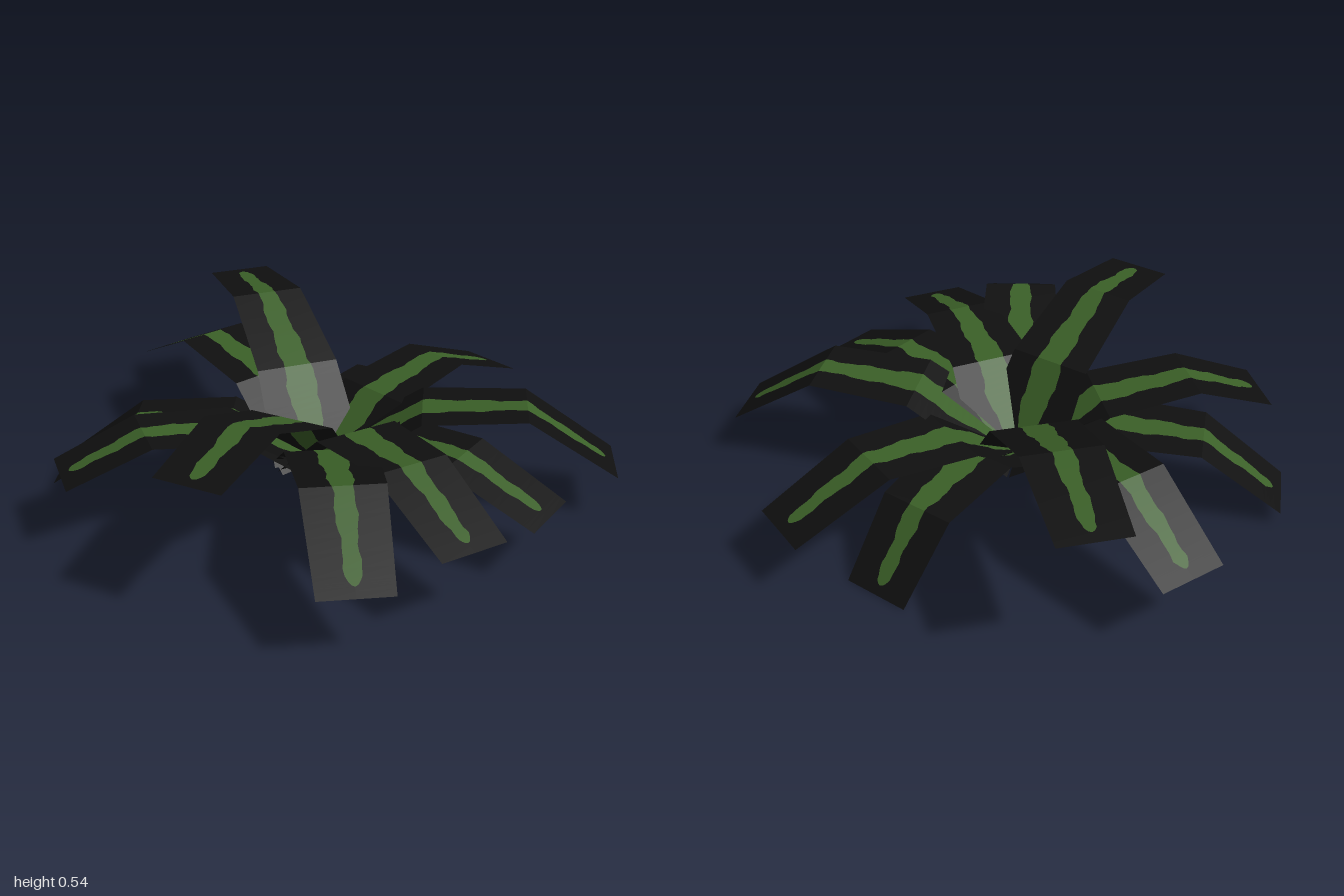
import * as THREE from 'three';

// Root point shared by every leaf, and leaf widths at root and tip
const ROOT = { x: -0.035, y: 0.1, z: 0.015 };
const ROOT_WIDTH = 0.345, TIP_WIDTH = 0.24;

// Each leaf: tip x, tip z, tip y, then radius and height of the bend and of the middle fold
const LEAVES = [
  [0.002, 0.905, 0.46, 0.555, 0.507, 0.215, 0.37],
  [0.55, 0.865, 0.215, 0.70, 0.40, 0.34, 0.33],
  [0.78, 0.53, 0.25, 0.60, 0.375, 0.26, 0.34],
  [0.882, 0.12, 0.18, 0.59, 0.31, 0.27, 0.29],
  [0.947, -0.395, 0.15, 0.74, 0.36, 0.37, 0.34],
  [0.27, -0.907, 0.20, 0.62, 0.335, 0.28, 0.29],
  [-0.04, -0.8, 0.0, 0.585, 0.22, 0.26, 0.25],
  [-0.775, -0.64, 0.5, 0.60, 0.54, 0.24, 0.38],
  [-0.957, -0.345, 0.23, 0.65, 0.40, 0.29, 0.355],
  [-0.91, 0.425, 0.04, 0.67, 0.26, 0.32, 0.275],
  [-0.65, 0.725, 0.23, 0.645, 0.34, 0.30, 0.30],
];

// Half width of the stripe as a fraction of the leaf's half width, t = 0 root to 1 tip
function stripeFraction(t) {
  if (t > 0.965) return 0;
  const body = 0.35 - 0.17 * Math.max(0, (t - 0.3) / 0.7);
  const taper = Math.min(1, 0.25 + t / 0.25);
  const roundEnd = Math.sqrt(Math.min(1, (0.965 - t) / 0.025));
  return body * taper * roundEnd;
}

// Small ragged variation along the stripe
const wobble = (t, phase) => 0.03 * Math.sin(t * 41 + phase) + 0.018 * Math.sin(t * 97 + phase * 2);

// Flat-faced strip from rows of [left, right] points
function strip(rows) {
  const pos = [];
  for (let i = 0; i < rows.length - 1; i++) {
    const [a, b] = rows[i], [c, d] = rows[i + 1];
    for (const p of [a, c, b, b, c, d]) pos.push(p.x, p.y, p.z);
  }
  const g = new THREE.BufferGeometry();
  g.setAttribute('position', new THREE.Float32BufferAttribute(pos, 3));
  g.computeVertexNormals();
  return g;
}

function makeLeaf([tx, tz, tipY, bendR, bendY, midR, midY], darkMat, greenMat) {
  const dx = tx - ROOT.x, dz = tz - ROOT.z, reach = Math.hypot(dx, dz);
  const ux = dx / reach, uz = dz / reach;
  const profile = [[0, ROOT.y], [midR, midY], [bendR, bendY], [reach, tipY]];

  // Point at fraction t along the leaf, s across it (-1 to 1)
  const at = (t, s) => {
    const k = Math.min(2, Math.floor(t * 3 + 1e-6)), f = t * 3 - k;
    const r = THREE.MathUtils.lerp(profile[k][0], profile[k + 1][0], f);
    const y = THREE.MathUtils.lerp(profile[k][1], profile[k + 1][1], f);
    const w = s * THREE.MathUtils.lerp(ROOT_WIDTH, TIP_WIDTH, t) / 2;
    return new THREE.Vector3(ROOT.x + ux * r + uz * w, y, ROOT.z + uz * r - ux * w);
  };

  // Stations, dense near the rounded end of the stripe
  const stations = [];
  for (let i = 0; i <= 45; i++) stations.push(i / 45);
  stations.push(0.948, 0.955, 0.961, 0.965);
  stations.sort((a, b) => a - b);

  const left = [], middle = [], right = [];
  for (const t of stations) {
    const half = stripeFraction(t);
    const fade = t > 0.94 ? 0 : Math.min(1, t * 5);
    const a = -half + wobble(t, tx * 9) * fade, b = half + wobble(t, tz * 7 + 2) * fade;
    left.push([at(t, -1), at(t, a)]);
    if (t <= 0.9651) middle.push([at(t, a), at(t, b)]);
    right.push([at(t, b), at(t, 1)]);
  }

  const leaf = new THREE.Group();
  leaf.name = 'leaf';
  const add = (rows, mat, name) => {
    const mesh = new THREE.Mesh(strip(rows), mat);
    mesh.name = name;
    leaf.add(mesh);
  };
  add(left, darkMat, 'leafBorder');
  add(right, darkMat, 'leafBorder');
  add(middle, greenMat, 'leafStripe');
  return leaf;
}

export function createModel() {
  const dark = new THREE.MeshStandardMaterial({ color: 0x0f0f0f, side: THREE.DoubleSide });
  dark.name = 'nearly black';
  const green = new THREE.MeshStandardMaterial({ color: 0x3a5f27, side: THREE.DoubleSide });
  green.name = 'leaf green';

  const plant = new THREE.Group();
  plant.name = 'plant';
  for (const spec of LEAVES) plant.add(makeLeaf(spec, dark, green));
  return plant;
}
